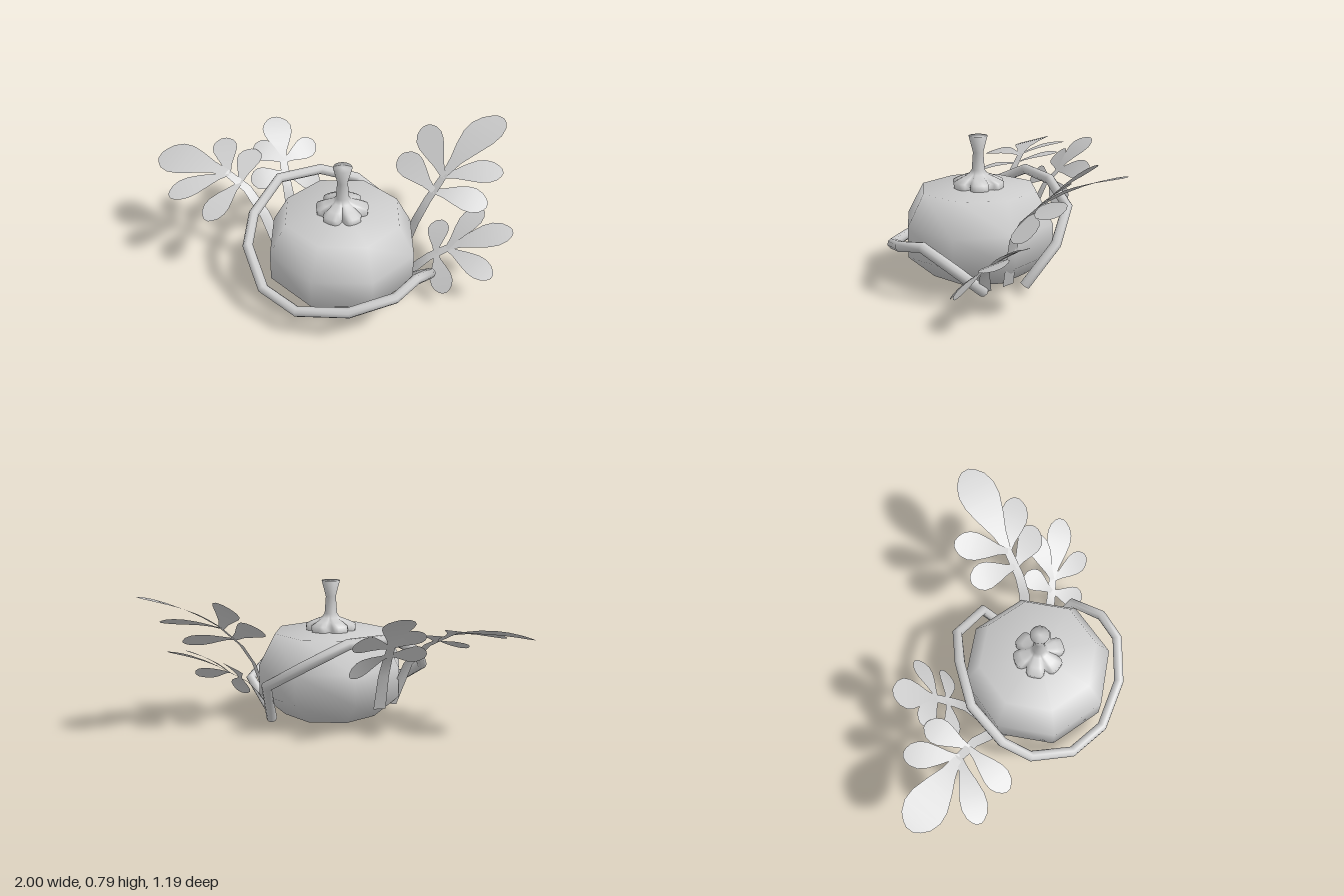
import * as THREE from 'three';

const V = (p) => new THREE.Vector3(...p);
const material = new THREE.MeshStandardMaterial({ color: 0xcccccc, side: THREE.DoubleSide });

function addMesh(parent, name, geometry) {
  const mesh = new THREE.Mesh(geometry, material);
  mesh.name = name;
  parent.add(mesh);
  return mesh;
}

// Straight-sided path with one tube ring per corner
class CornerPath extends THREE.Curve {
  constructor(points) {
    super();
    this.points = points;
  }
  getPointAt(u, target = new THREE.Vector3()) {
    const last = this.points.length - 1;
    const i = Math.min(Math.floor(u * last + 1e-6), last - 1);
    return target.lerpVectors(this.points[i], this.points[i + 1], u * last - i);
  }
  getTangentAt(u, target = new THREE.Vector3()) {
    const last = this.points.length - 1;
    const i = Math.round(u * last);
    const a = this.points[Math.max(i - 1, 0)], b = this.points[Math.min(i + 1, last)];
    return target.subVectors(b, a).normalize();
  }
}

// Thin strip through the points, widened on both sides across the normal
function ribbon(points, halfWidths, normal) {
  const position = [], index = [];
  points.forEach((p, i) => {
    const along = points[Math.min(i + 1, points.length - 1)].clone().sub(points[Math.max(i - 1, 0)]);
    const side = along.cross(normal).normalize().multiplyScalar(halfWidths[i]);
    position.push(...p.clone().sub(side).toArray(), ...p.clone().add(side).toArray());
    if (i) {
      const k = 2 * i;
      index.push(k - 2, k - 1, k, k - 1, k + 1, k);
    }
  });
  const geometry = new THREE.BufferGeometry();
  geometry.setAttribute('position', new THREE.Float32BufferAttribute(position, 3));
  geometry.setIndex(index);
  geometry.computeVertexNormals();
  return geometry;
}

// Rounded leaflet, narrow at its base and slightly arched
const OUTLINE = [[0, 0.2], [0.2, 0.38], [0.4, 0.7], [0.6, 0.97], [0.75, 1], [0.88, 0.8], [0.96, 0.48], [1, 0.2]];
function leaflet(base, tip, width, normal) {
  const arch = base.distanceTo(tip) * 0.2;
  const points = OUTLINE.map(([t]) =>
    base.clone().lerp(tip, t).addScaledVector(normal, arch * t * (1 - t)));
  return ribbon(points, OUTLINE.map(([, w]) => (w * width) / 2), normal);
}

// Stalk, end leaflet and two pairs of side leaflets
function buildLeaf(name, { stalk, tip, facing, pairs, endWidth, sideWidth }) {
  const leaf = new THREE.Group();
  leaf.name = name;
  const path = stalk.map(V), end = path[path.length - 1];
  const normal = V(facing).normalize();
  addMesh(leaf, 'stalk', ribbon(path, path.map((_, i) => 0.034 - 0.004 * i), normal));
  addMesh(leaf, 'endLeaflet', leaflet(end, V(tip), endWidth, normal));
  pairs.forEach((pair, i) => {
    const root = path[path.length - 2].clone().lerp(end, 0.35 + 0.55 * i);
    for (const p of pair) addMesh(leaf, 'sideLeaflet', leaflet(root, V(p), sideWidth, normal));
  });
  return leaf;
}

const LEAVES = {
  leftBigLeaf: {
    stalk: [[0.38, 0.06, -0.03], [0.47, 0.34, -0.05], [0.53, 0.45, -0.09], [0.63, 0.57, -0.18]],
    tip: [0.965, 0.765, -0.475], facing: [-0.45, 0.85, 0.35], endWidth: 0.22, sideWidth: 0.155,
    pairs: [[[0.39, 0.59, -0.34], [0.86, 0.45, -0.05]], [[0.53, 0.72, -0.45], [0.95, 0.59, -0.18]]],
  },
  leftSmallLeaf: {
    stalk: [[0.4, 0.03, 0.09], [0.48, 0.14, 0.1], [0.54, 0.2, 0.1], [0.65, 0.26, 0.09]],
    tip: [0.99, 0.37, 0.08], facing: [-0.45, 0.85, 0.35], endWidth: 0.15, sideWidth: 0.125,
    pairs: [[[0.61, 0.33, -0.07], [0.62, 0.09, 0.28]], [[0.84, 0.41, -0.07], [0.87, 0.19, 0.26]]],
  },
  rightBigLeaf: {
    stalk: [[-0.29, 0.12, -0.03], [-0.38, 0.36, -0.07], [-0.48, 0.48, -0.15], [-0.6, 0.55, -0.21]],
    tip: [-1, 0.56, -0.37], facing: [-0.08, 0.95, 0.28], endWidth: 0.22, sideWidth: 0.14,
    pairs: [[[-0.46, 0.58, -0.41], [-0.69, 0.42, 0.07]], [[-0.64, 0.61, -0.48], [-0.9, 0.5, -0.04]]],
  },
  rightBackLeaf: {
    stalk: [[-0.23, 0.14, -0.21], [-0.25, 0.33, -0.26], [-0.27, 0.43, -0.31], [-0.29, 0.52, -0.4]],
    tip: [-0.35, 0.69, -0.59], facing: [0.25, 0.6, 0.7], endWidth: 0.17, sideWidth: 0.125,
    pairs: [[[-0.47, 0.45, -0.27], [-0.08, 0.36, -0.4]], [[-0.46, 0.59, -0.43], [-0.11, 0.55, -0.54]]],
  },
};

const VINE = [
  [0.41, 0.04, 0.1], [0.54, 0.19, 0.23], [0.44, 0.3, 0.41], [0.33, 0.27, 0.52], [0.09, 0.21, 0.57],
  [-0.18, 0.165, 0.515], [-0.365, 0.195, 0.37], [-0.46, 0.31, 0.15], [-0.435, 0.41, -0.01],
  [-0.3, 0.52, -0.2], [-0.07, 0.51, -0.31], [0.14, 0.41, -0.375], [0.365, 0.27, -0.28], [0.365, 0.05, -0.12],
];

export function createModel() {
  const model = new THREE.Group();
  model.name = 'gourdPlant';

  // Eight-sided fruit; profile radii are measured to the flats
  const profile = [[0, 0.005], [0.25, 0.04], [0.385, 0.17], [0.385, 0.335], [0.3, 0.505], [0, 0.515]]
    .map(([r, y]) => new THREE.Vector2(r / Math.cos(Math.PI / 8), y));
  addMesh(model, 'fruit', new THREE.LatheGeometry(profile, 8, Math.PI / 8)).position.set(0.055, 0, 0.098);

  // Flared stem on a low six-lobed cap
  const stemProfile = [[0.138, 0.512], [0.14, 0.545], [0.1, 0.564], [0.05, 0.583], [0.035, 0.605],
    [0.028, 0.7], [0.051, 0.79], [0, 0.79]].map(([r, y]) => new THREE.Vector2(r, y));
  const stem = new THREE.LatheGeometry(stemProfile, 48);
  const pos = stem.attributes.position;
  for (let i = 0; i < pos.count; i++) {
    const x = pos.getX(i), z = pos.getZ(i);
    if (Math.hypot(x, z) < 0.09) continue;
    const k = Math.min(1, 0.72 + 0.5 * Math.abs(Math.sin(3 * Math.atan2(x, z))));
    pos.setX(i, x * k);
    pos.setZ(i, z * k);
  }
  stem.computeVertexNormals();
  addMesh(model, 'stem', stem).position.set(0.055, 0, 0.1);

  // Vine winding once around the fruit
  const path = new CornerPath(VINE.map(V));
  addMesh(model, 'vine', new THREE.TubeGeometry(path, VINE.length - 1, 0.029, 8, false));

  // Compound leaves
  for (const [name, spec] of Object.entries(LEAVES)) model.add(buildLeaf(name, spec));

  return model;
}
